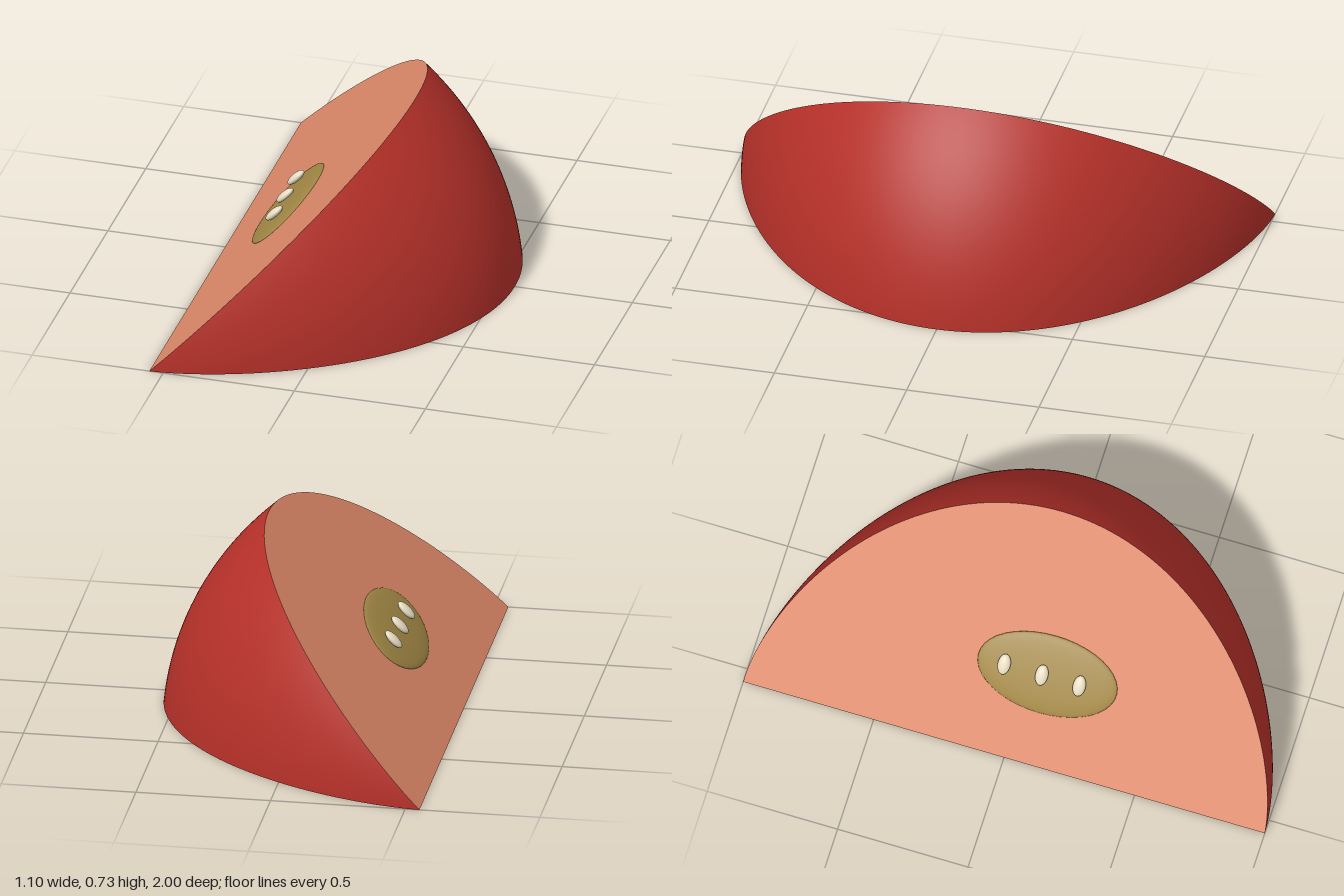
import * as THREE from 'three';

const AXIS_X = -0.553;      // the sharp edge of the wedge runs along z here
const SPREAD = Math.PI / 4; // angle between the two cut faces
const SINK = 0.114;         // the round centre lies a little below the base
const TAPER = 0.62;         // how the wedge narrows to its two tips

// Distance from the sharp edge to the peel, for an angle and a place along z.
function reach(angle, z) {
  const s = SINK * Math.sin(angle);
  return (Math.sqrt(s * s + 1.221) - s) * Math.pow(Math.max(0, 1 - z * z), TAPER);
}

// Bend a unit grid: rule(u, v) gives [angle, z, fraction of reach].
function sheet(nu, nv, rule) {
  const geometry = new THREE.PlaneGeometry(1, 1, nu, nv);
  const p = geometry.attributes.position;
  for (let i = 0; i < p.count; i++) {
    const [angle, z, f] = rule(p.getX(i) + 0.5, p.getY(i) + 0.5);
    const r = reach(angle, z) * f;
    p.setXYZ(i, AXIS_X + r * Math.cos(angle), r * Math.sin(angle), z);
  }
  geometry.computeVertexNormals();
  return geometry;
}

export function createModel() {
  const material = (name, color) => {
    const m = new THREE.MeshStandardMaterial({ color });
    m.name = name;
    return m;
  };
  const peelRed = material('peel red', 0xb53029);
  const fleshPink = material('flesh pink', 0xdb8768);
  const coreOlive = material('core olive', 0xa08644);
  const seedCream = material('seed cream', 0xe4dac0);

  const model = new THREE.Group();
  model.name = 'fruitWedge';
  const add = (parent, name, geometry, mat) => {
    const mesh = new THREE.Mesh(geometry, mat);
    mesh.name = name;
    parent.add(mesh);
    return mesh;
  };
  const along = (v) => -Math.cos(v * Math.PI);

  // Rounded peel and the two flat cuts
  add(model, 'peel', sheet(32, 96, (u, v) => [u * SPREAD, along(v), 1]), peelRed);
  add(model, 'bottomCut', sheet(1, 96, (u, v) => [0, along(v), u]), fleshPink);
  add(model, 'slopingCut', sheet(1, 96, (u, v) => [SPREAD, -along(v), u]), fleshPink);

  // Core and seeds: local x runs up the slope, local y points out of it
  const core = new THREE.Group();
  core.name = 'coreAndSeeds';
  core.position.set(-0.288, -0.288 - AXIS_X, 0.085);
  core.rotation.z = SPREAD;
  model.add(core);

  const ball = new THREE.SphereGeometry(1, 40, 24);
  add(core, 'core', ball, coreOlive).scale.set(0.16, 0.019, 0.266);

  for (let i = -1; i <= 1; i++) {
    const seed = add(core, 'seed', ball, seedCream);
    seed.position.set(0.004, 0.028, i * 0.144 - 0.017);
    seed.scale.set(0.042, 0.015, 0.024);
  }
  return model;
}
